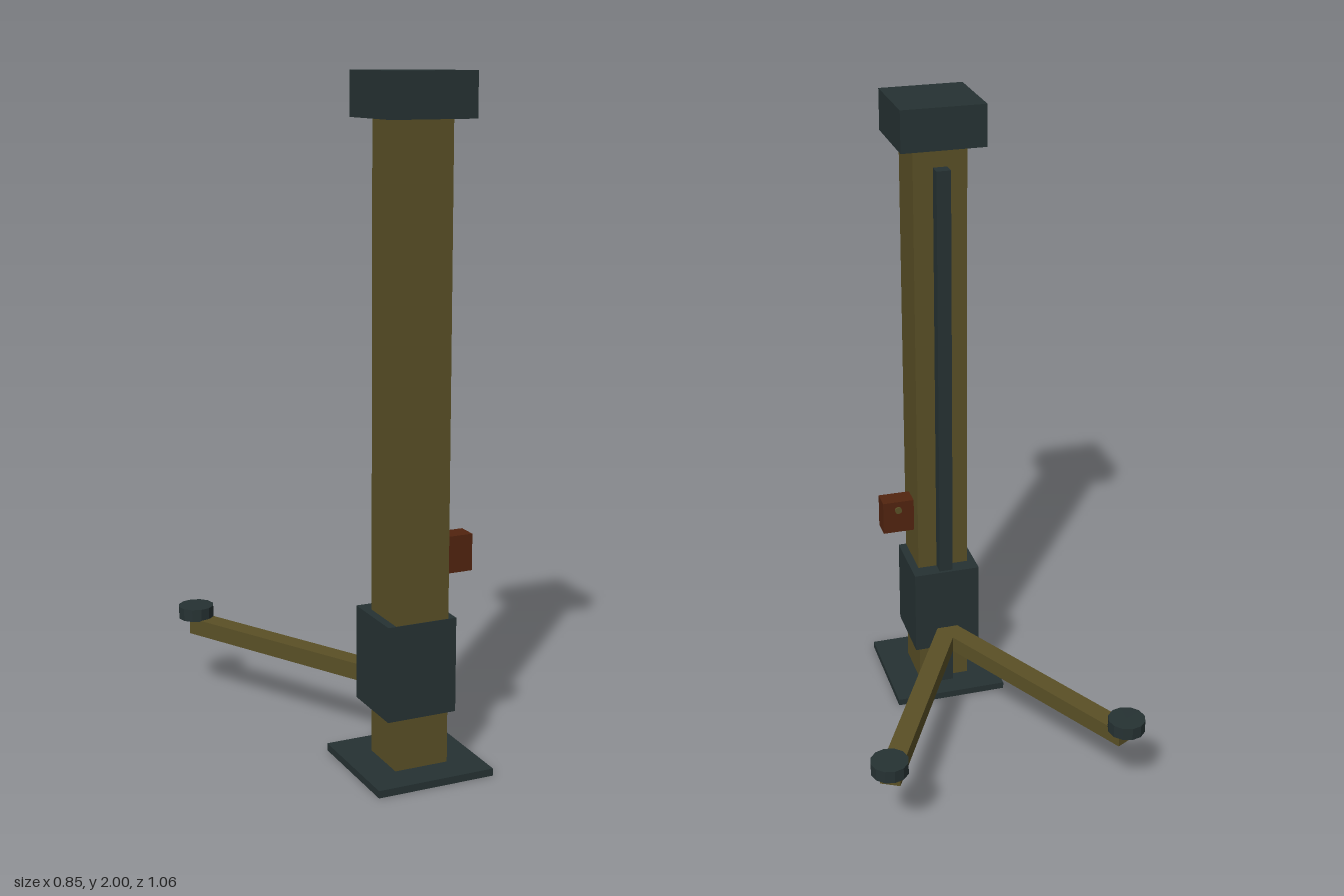
import * as THREE from 'three';

const mat = (name, color) => Object.assign(new THREE.MeshStandardMaterial({ color }), { name });

export function createModel() {
  const steel = mat('darkSteel', 0x263233);
  const olive = mat('olivePaint', 0x5a5026);
  const rust = mat('rustRed', 0x52240f);
  const model = new THREE.Group();
  model.name = 'postLift';

  // Box given by its limits on each axis
  const box = (name, material, [x0, x1], [y0, y1], [z0, z1], parent = model) => {
    const mesh = new THREE.Mesh(new THREE.BoxGeometry(x1 - x0, y1 - y0, z1 - z0), material);
    mesh.position.set((x0 + x1) / 2, (y0 + y1) / 2, (z0 + z1) / 2);
    mesh.name = name;
    parent.add(mesh);
    return mesh;
  };

  // Post with its foot, cap and rear rail
  box('basePlate', steel, [-0.182, 0.182], [0, 0.022], [0.168, 0.532]);
  box('column', olive, [-0.083, 0.083], [0.01, 1.9], [0.268, 0.433]);
  box('topCap', steel, [-0.13, 0.13], [1.873, 2], [0.221, 0.481]);
  box('rearRail', steel, [-0.022, 0.022], [0.03, 1.81], [0.227, 0.27]);

  // Sliding carriage around the post
  box('carriage', steel, [-0.108, 0.108], [0.175, 0.46], [0.217, 0.4345]);

  // Control box with a small button on its rear face
  box('controlBox', rust, [0.08, 0.185], [0.577, 0.687], [0.319, 0.382]);
  const button = new THREE.Mesh(new THREE.CylinderGeometry(0.012, 0.012, 0.01, 8), olive);
  button.rotation.x = Math.PI / 2;
  button.position.set(0.135, 0.658, 0.318);
  button.name = 'controlButton';
  model.add(button);

  // Two swing arms spreading backwards, each ending under a round pad
  const reach = Math.hypot(0.368, 0.69);
  for (const side of [1, -1]) {
    const arm = new THREE.Group();
    arm.name = side > 0 ? 'leftArm' : 'rightArm';
    arm.position.set(0, 0, 0.215);
    arm.rotation.y = -side * Math.atan2(0.368, 0.69);
    box('armBeam', olive, [-0.031, 0.031], [0.196, 0.248], [-reach, 0], arm);
    const padGeometry = new THREE.CylinderGeometry(0.057, 0.057, 0.04, 12).toNonIndexed();
    padGeometry.computeVertexNormals();
    const pad = new THREE.Mesh(padGeometry, steel);
    pad.position.set(0, 0.265, -reach);
    pad.name = 'liftPad';
    arm.add(pad);
    model.add(arm);
  }
  return model;
}
